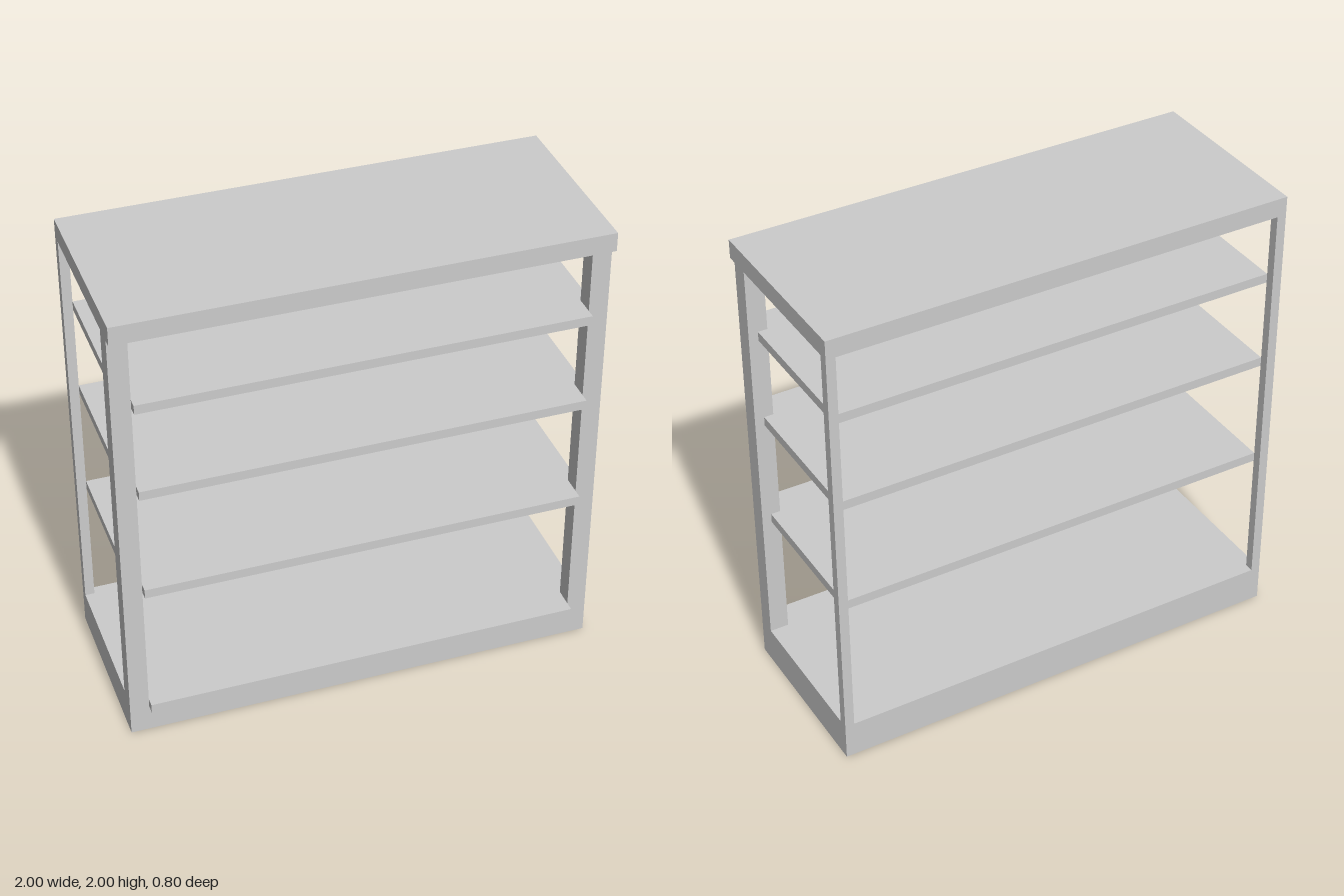
import * as THREE from 'three';

const material = new THREE.MeshStandardMaterial({ color: 0xcccccc });

// Box given by its minimum and maximum on each axis
function box(name, [x0, x1], [y0, y1], [z0, z1]) {
  const mesh = new THREE.Mesh(new THREE.BoxGeometry(x1 - x0, y1 - y0, z1 - z0), material);
  mesh.name = name;
  mesh.position.set((x0 + x1) / 2, (y0 + y1) / 2, (z0 + z1) / 2);
  return mesh;
}

// Shelf notched around the front posts: board plus a narrower front edge
function shelfGeometry(thickness) {
  const s = new THREE.Shape();
  // shape y is -z, so it lies flat after rotation
  s.moveTo(-0.92, -0.4);
  s.lineTo(0.92, -0.4);
  s.lineTo(0.92, -0.28);
  s.lineTo(0.96, -0.28);
  s.lineTo(0.96, 0.36);
  s.lineTo(-0.96, 0.36);
  s.lineTo(-0.96, -0.28);
  s.lineTo(-0.92, -0.28);
  s.closePath();
  return new THREE.ExtrudeGeometry(s, { depth: thickness, bevelEnabled: false }).rotateX(-Math.PI / 2);
}

export function createModel() {
  const model = new THREE.Group();
  model.name = 'shelvingUnit';

  // Plinth with its front lip, and overhanging top
  model.add(box('base', [-1, 1], [0, 0.16], [-0.4, 0.36]));
  model.add(box('baseLip', [-0.92, 0.92], [0.12, 0.16], [0.36, 0.4]));
  model.add(box('top', [-1, 1], [1.92, 2], [-0.4, 0.4]));

  // Thick front posts and slim back posts
  for (const [side, s] of [['left', 1], ['right', -1]]) {
    const span = (w) => (s > 0 ? [1 - w, 1] : [-1, w - 1]);
    model.add(box(side + 'FrontPost', span(0.08), [0.16, 1.92], [0.28, 0.36]));
    model.add(box(side + 'BackPost', span(0.04), [0.16, 1.92], [-0.4, -0.36]));
  }

  // Shelves
  const geometry = shelfGeometry(0.04);
  [0.72, 1.2, 1.6].forEach((y, i) => {
    const shelf = new THREE.Mesh(geometry, material);
    shelf.name = 'shelf' + (i + 1);
    shelf.position.y = y;
    model.add(shelf);
  });

  return model;
}
